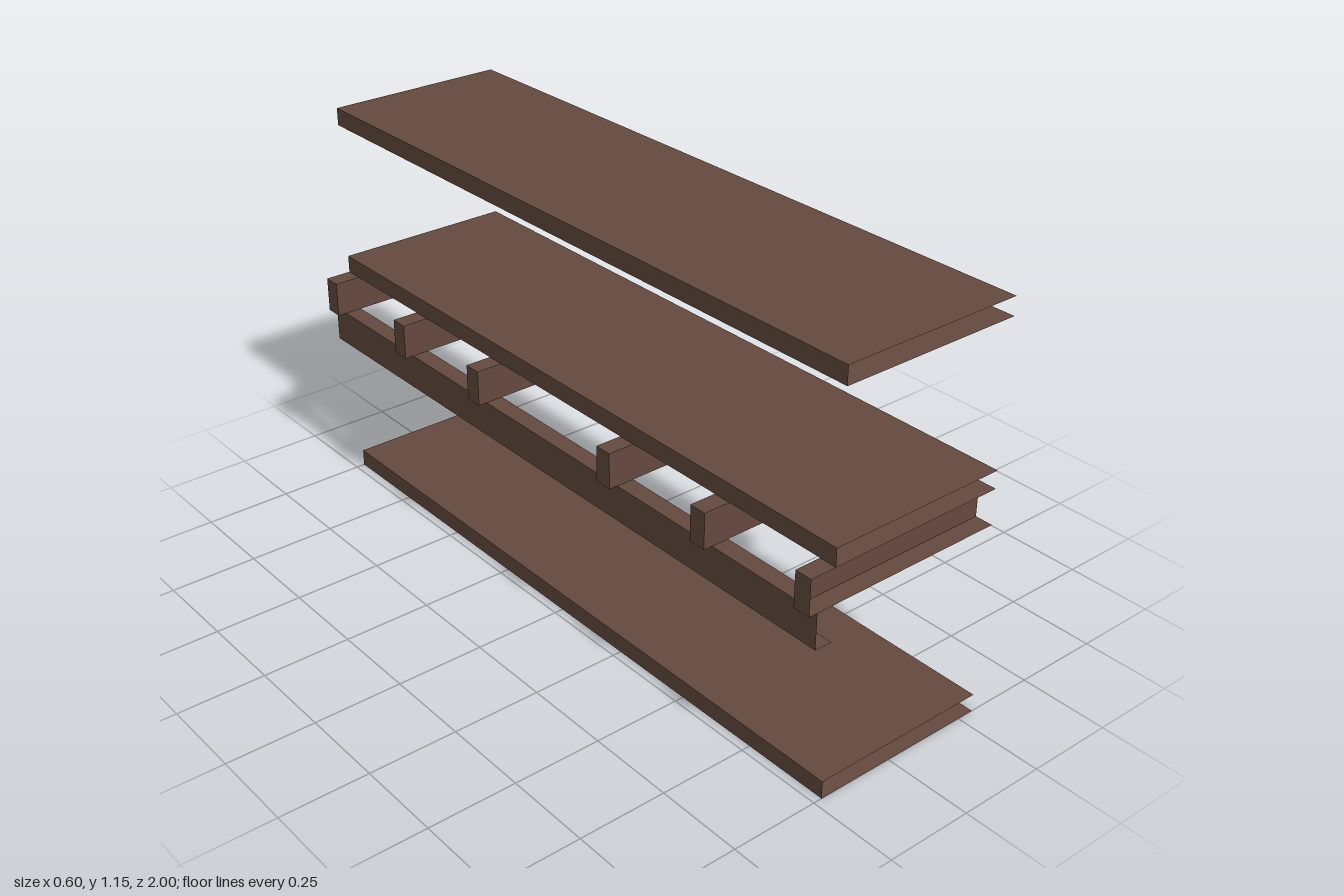
import * as THREE from 'three';

// Order of the faces inside a BoxGeometry index
const FACES = ['+x', '-x', '+y', '-y', '+z', '-z'];

// Box from min to max corner, leaving out the faces that sit against walls
function openBox(name, min, max, open, material) {
  const size = max.map((v, i) => v - min[i]);
  const geometry = new THREE.BoxGeometry(...size);
  const all = Array.from(geometry.index.array);
  geometry.setIndex(all.filter((_, i) => !open.includes(FACES[Math.floor(i / 6)])));
  geometry.clearGroups();
  const mesh = new THREE.Mesh(geometry, material);
  mesh.name = name;
  mesh.position.set(...max.map((v, i) => (v + min[i]) / 2));
  return mesh;
}

export function createModel() {
  const model = new THREE.Group();
  model.name = 'shelves';
  const wood = new THREE.MeshStandardMaterial({ color: 0x664a40, side: THREE.DoubleSide });
  wood.name = 'dark brown wood';

  // Three boards, open at both ends and along the wall side
  const boards = [['bottomShelf', 0], ['middleShelf', 0.65], ['topShelf', 1.1]];
  for (const [name, y] of boards) {
    model.add(openBox(name, [-0.225, y, -1], [0.3, y + 0.05, 1], ['+x', '+z', '-z'], wood));
  }

  // Cross beams under the middle board, in mirrored pairs
  const beams = new THREE.Group();
  beams.name = 'crossBeams';
  for (const z of [0.25, 0.6, 0.95]) {
    const end = z === 0.95;
    beams.add(openBox('frontCrossBeam', [-0.3, 0.55, z], [0.3, 0.65, z + 0.05],
      end ? ['+x', '+z'] : ['+x'], wood));
    beams.add(openBox('backCrossBeam', [-0.3, 0.55, -z - 0.05], [0.3, 0.65, -z],
      end ? ['+x', '-z'] : ['+x'], wood));
  }
  model.add(beams);

  // Long rail carrying the outer ends of the beams
  model.add(openBox('supportRail', [-0.275, 0.45, -1], [-0.225, 0.55, 1], ['+x', '+z', '-z'], wood));

  return model;
}
